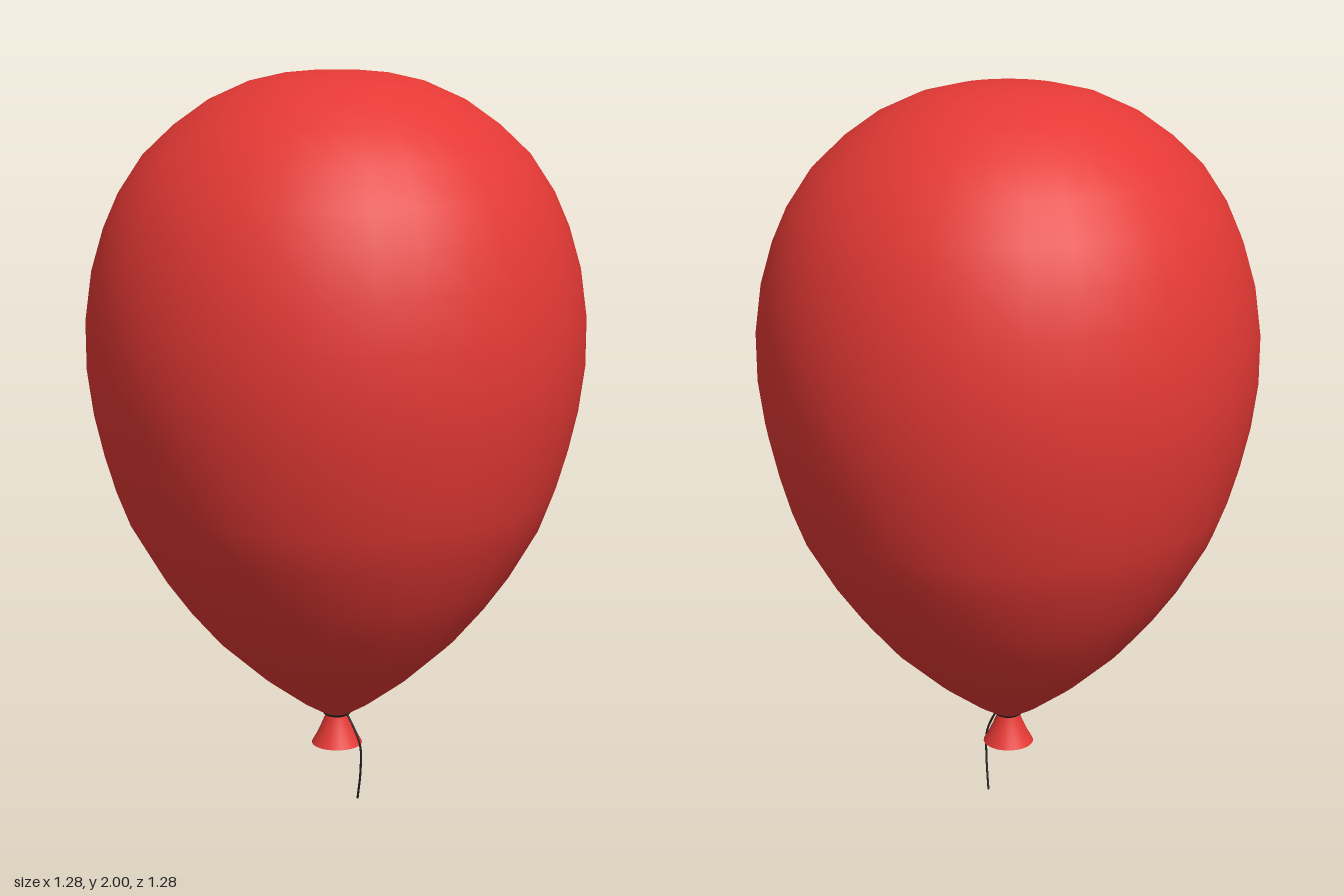
import * as THREE from 'three';

const red = new THREE.MeshStandardMaterial({ color: 0xe53935, side: THREE.DoubleSide });
const dark = new THREE.MeshStandardMaterial({ color: 0x222222 });

const toPoints = (pairs) => pairs.map(([r, y]) => new THREE.Vector2(r, y));

function addMesh(group, name, geometry, material) {
  const mesh = new THREE.Mesh(geometry, material);
  mesh.name = name;
  group.add(mesh);
}

// Swell the round section slightly towards its diagonals
function squareOff(geometry, amount) {
  const p = geometry.attributes.position;
  for (let i = 0; i < p.count; i++) {
    const a = Math.atan2(p.getZ(i), p.getX(i));
    const k = 1 + amount * (1 - Math.cos(4 * a)) / 2;
    p.setX(i, p.getX(i) * k);
    p.setZ(i, p.getZ(i) * k);
  }
  return geometry;
}

export function createModel() {
  const group = new THREE.Group();
  group.name = 'balloon';

  // Inflated body, from the knot up to the crown
  const body = toPoints([
    [0.03, 0.25], [0.095, 0.29], [0.2, 0.37], [0.32, 0.482], [0.4, 0.579],
    [0.465, 0.672], [0.54, 0.805], [0.575, 0.9], [0.603, 1.0], [0.627, 1.11],
    [0.642, 1.23], [0.642, 1.36], [0.624, 1.49], [0.592, 1.6], [0.553, 1.69],
    [0.49, 1.787], [0.412, 1.862], [0.325, 1.925], [0.222, 1.972],
    [0.13, 1.993], [0.06, 1.999], [0, 2.0],
  ]);
  addMesh(group, 'body', squareOff(new THREE.LatheGeometry(body, 32), 0.03), red);

  // Open flared neck below the knot
  const neck = toPoints([[0.07, 0.165], [0.056, 0.19], [0.043, 0.218], [0.034, 0.24], [0.03, 0.256]]);
  addMesh(group, 'neck', new THREE.LatheGeometry(neck, 24), red);

  // Tied ring
  const ring = new THREE.TorusGeometry(0.03, 0.01, 10, 24);
  ring.rotateX(Math.PI / 2);
  ring.translate(0, 0.257, 0);
  addMesh(group, 'knotRing', ring, dark);

  // Thin string hanging over the front of the neck
  const path = new THREE.CatmullRomCurve3([
    new THREE.Vector3(0, 0.255, 0.034),
    new THREE.Vector3(0.002, 0.215, 0.058),
    new THREE.Vector3(0.005, 0.165, 0.077),
    new THREE.Vector3(0.01, 0.09, 0.074),
    new THREE.Vector3(0.027, 0.001, 0.052),
  ]);
  addMesh(group, 'string', new THREE.TubeGeometry(path, 24, 0.003, 6), dark);

  return group;
}
